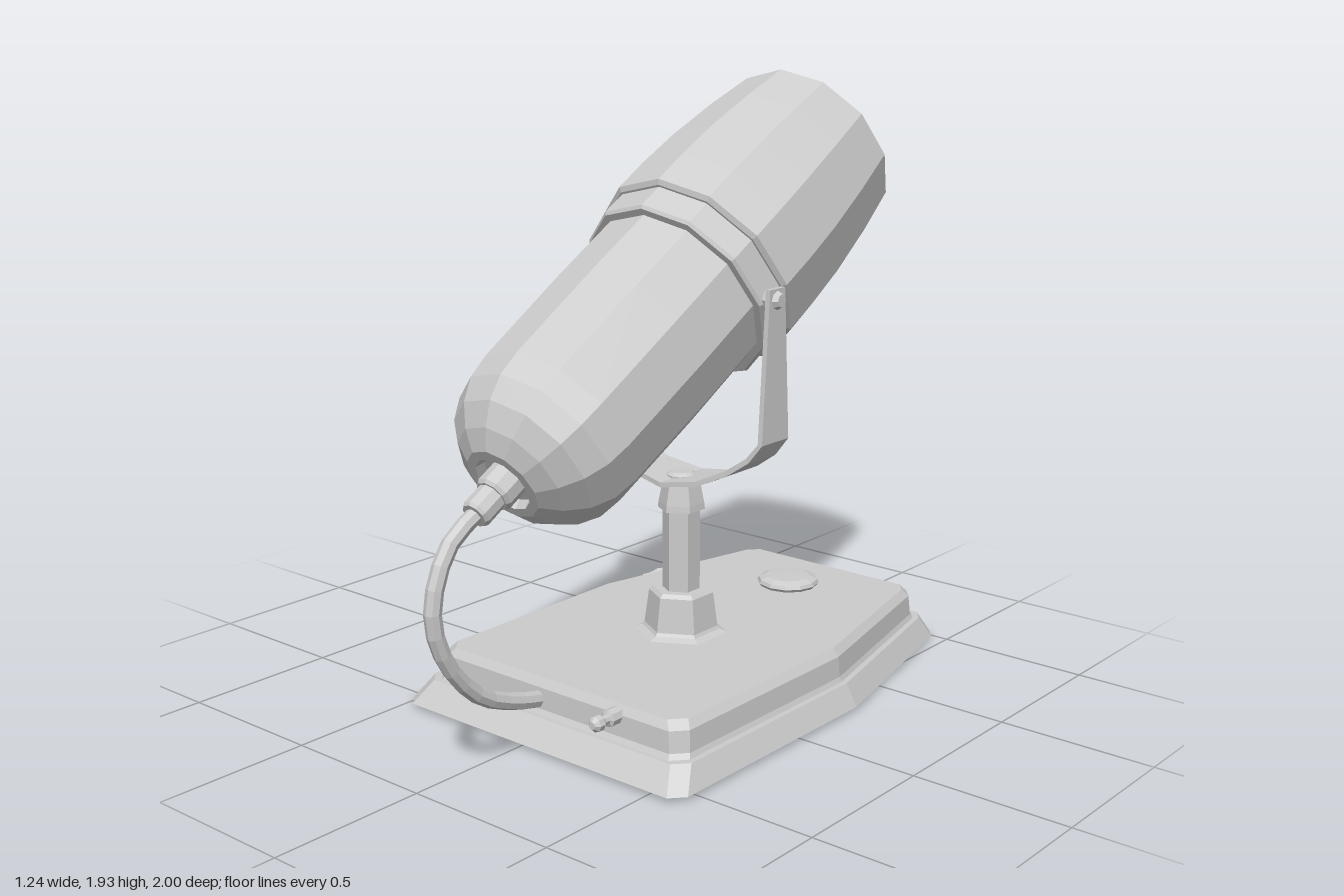
import * as THREE from 'three';

const CX = 0.06;       // centre line of the microphone and base
const PIVOT_Z = -0.095;
const material = new THREE.MeshStandardMaterial({ color: 0xcccccc, flatShading: true });

function add(parent, name, geometry, x = 0, y = 0, z = 0) {
  const mesh = new THREE.Mesh(geometry, material);
  mesh.name = name;
  mesh.position.set(x, y, z);
  parent.add(mesh);
  return mesh;
}

// Turned solid from [radius, height] pairs, listed upwards
const turned = (profile, sides) =>
  new THREE.LatheGeometry(profile.map(([r, y]) => new THREE.Vector2(r, y)), sides);

// Skin over closed rings of points, with a fan cap at both ends
function loft(rings) {
  const n = rings[0].length, pos = [], index = [];
  rings.forEach(ring => ring.forEach(p => pos.push(...p)));
  for (let k = 0; k < rings.length - 1; k++) {
    for (let i = 0; i < n; i++) {
      const j = (i + 1) % n, a = k * n, b = a + n;
      index.push(a + i, a + j, b + j, a + i, b + j, b + i);
    }
  }
  const last = (rings.length - 1) * n;
  for (let i = 1; i < n - 1; i++) {
    index.push(0, i + 1, i, last, last + i, last + i + 1);
  }
  const geometry = new THREE.BufferGeometry();
  geometry.setAttribute('position', new THREE.Float32BufferAttribute(pos, 3));
  geometry.setIndex(index);
  geometry.computeVertexNormals();
  return geometry;
}

// Tapered base outline, inset by d at the sides and back and by f at the front
function baseRing([d, f, y]) {
  const w = 0.555 - d, front = 0.595 - f, back = -1 + d, bw = 0.395 - 0.81 * d;
  const half = [
    [w - 0.04, front], [w, front - 0.045], [w, -0.28 + 0.1 * d],
    [bw + 0.008, back + 0.04], [bw - 0.025, back],
  ];
  const right = half.map(([x, z]) => [CX + x, y, z]);
  const left = half.map(([x, z]) => [CX - x, y, z]).reverse();
  return [...right, ...left];
}

// Strap that hangs from both pivots and widens towards the stem
function yokeGeometry() {
  const half = [ // x, y, half width
    [0.353, 1.335, 0.037], [0.353, 0.87, 0.066], [0.308, 0.815, 0.068],
    [0.235, 0.765, 0.075], [0.13, 0.715, 0.09], [0, 0.692, 0.105],
  ];
  const path = [
    ...half.map(([x, y, w]) => [-x, y, w]),
    ...half.slice(0, -1).reverse(),
  ];
  const t = 0.008;
  return loft(path.map(([x, y, w], i) => {
    const a = path[Math.max(i - 1, 0)], b = path[Math.min(i + 1, path.length - 1)];
    const len = Math.hypot(b[0] - a[0], b[1] - a[1]);
    const nx = (b[1] - a[1]) / len * t, ny = -(b[0] - a[0]) / len * t;
    return [[1, 1], [-1, 1], [-1, -1], [1, -1]].map(([s, o]) => [x + o * nx, y + o * ny, s * w]);
  }));
}

export function createModel() {
  const model = new THREE.Group();
  model.name = 'deskMicrophone';

  // Stepped base
  add(model, 'base', loft([
    [0, 0, 0.015], [0.037, 0.06, 0.085], [0.055, 0.075, 0.085],
    [0.062, 0.085, 0.1], [0.068, 0.09, 0.165], [0.088, 0.108, 0.19],
  ].map(baseRing)));

  // Button on the back of the base
  add(model, 'baseButton', turned(
    [[0, 0.18], [0.09, 0.18], [0.105, 0.2], [0.1, 0.212], [0.075, 0.222], [0, 0.224]], 12), CX, 0, -0.675);

  // Six-sided stem with its foot and top collar
  const stem = new THREE.Group();
  stem.name = 'stand';
  stem.position.set(CX, 0, PIVOT_Z);
  model.add(stem);
  add(stem, 'stemFoot', turned(
    [[0, 0.18], [0.155, 0.188], [0.125, 0.2], [0.118, 0.21], [0.103, 0.32], [0.09, 0.332], [0, 0.332]], 6));
  add(stem, 'stem', new THREE.CylinderGeometry(0.06, 0.06, 0.36, 6), 0, 0.48, 0);
  add(stem, 'stemCollar', turned([[0, 0.595], [0.075, 0.595], [0.073, 0.615], [0.058, 0.69], [0, 0.69]], 6));

  // Yoke and its bolts
  add(stem, 'yoke', yokeGeometry());
  add(stem, 'yokeBolt', turned([[0, 0.695], [0.048, 0.695], [0.048, 0.707], [0.035, 0.716], [0, 0.716]], 12));
  for (const side of [-1, 1]) {
    const axle = add(stem, 'pivotAxle', new THREE.CylinderGeometry(0.02, 0.02, 0.09, 8), side * 0.325, 1.3, 0);
    const washer = add(stem, 'pivotWasher', new THREE.CylinderGeometry(0.03, 0.03, 0.02, 8), side * 0.336, 1.3, 0);
    const knob = add(stem, 'pivotKnob', new THREE.CylinderGeometry(0.02, 0.029, 0.016, 8), side * 0.369, 1.3, 0);
    for (const part of [axle, washer, knob]) part.rotation.z = -side * Math.PI / 2;
  }

  // Microphone, leaning back around the pivot
  const mic = new THREE.Group();
  mic.name = 'microphone';
  mic.position.set(CX, 1.302, PIVOT_Z);
  mic.rotation.x = -Math.PI / 3;
  model.add(mic);
  add(mic, 'body', turned([
    [0, -0.885], [0.085, -0.885], [0.095, -0.915], [0.125, -0.915], [0.185, -0.88], [0.24, -0.825],
    [0.275, -0.755], [0.287, -0.67], [0.296, -0.3], [0.297, -0.02], [0, -0.02],
  ], 12));
  add(mic, 'collar', turned([[0, -0.04], [0.32, -0.04], [0.328, -0.03], [0.328, 0.08], [0, 0.08]], 12));
  add(mic, 'head', turned([
    [0, 0.06], [0.335, 0.06], [0.35, 0.07], [0.35, 0.09], [0.351, 0.2], [0.345, 0.36], [0.326, 0.56],
    [0.301, 0.74], [0.215, 0.785], [0.11, 0.806], [0, 0.812],
  ], 12));
  add(mic, 'cableSocket', turned([[0, -0.965], [0.052, -0.965], [0.06, -0.955], [0.06, -0.88], [0, -0.88]], 10));
  add(mic, 'cableSleeve', turned([[0, -1.045], [0.04, -1.045], [0.046, -1.035], [0.046, -0.96], [0, -0.96]], 10));

  // Cable curling down to the base
  const cablePath = new THREE.CatmullRomCurve3([
    [0.79, 0.79], [0.9, 0.725], [0.96, 0.62], [0.975, 0.51], [0.925, 0.375], [0.81, 0.25], [0.68, 0.19], [0.57, 0.162],
  ].map(([z, y]) => new THREE.Vector3(CX, y, z)));
  add(model, 'cable', new THREE.TubeGeometry(cablePath, 14, 0.026, 8));
  const end = add(model, 'cableEnd', new THREE.CircleGeometry(0.026, 8), CX, 0.162, 0.57);
  end.rotation.y = Math.PI;

  // Jack on the front edge of the base
  const jack = add(model, 'jack', turned([
    [0, 0], [0.026, 0], [0.026, 0.05], [0.015, 0.055], [0.015, 0.075],
    [0.024, 0.085], [0.024, 0.105], [0.012, 0.118], [0, 0.118],
  ], 8), 0.31, 0.16, 0.49);
  jack.rotation.x = Math.PI / 2;

  // Loose two-pin plug beside the base
  const plug = new THREE.Group();
  plug.name = 'plug';
  plug.position.set(-0.565, 0.046, -0.742);
  plug.rotation.set(Math.PI / 2, 0, -3 * Math.PI / 4);
  model.add(plug);
  add(plug, 'plugBody', turned([
    [0, -0.065], [0.022, -0.065], [0.028, -0.04], [0.044, -0.01], [0.046, 0.025], [0.038, 0.05], [0, 0.05],
  ], 8));
  for (const side of [-1, 1]) {
    add(plug, 'plugPin', new THREE.BoxGeometry(0.006, 0.04, 0.02), side * 0.018, 0.068, 0);
  }
  return model;
}
